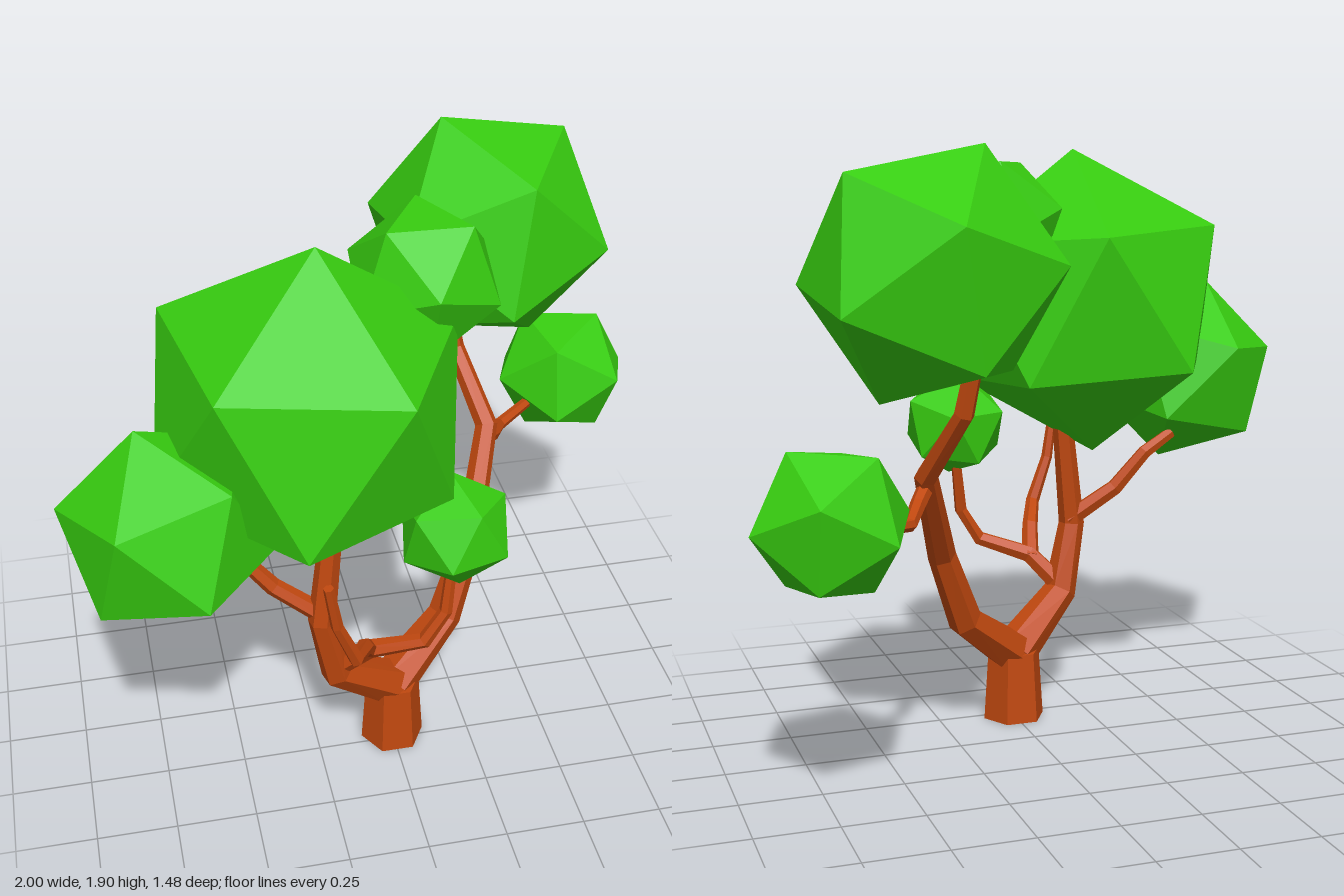
import * as THREE from 'three';

const V = (p) => new THREE.Vector3(...p);

// Faceted tapering limb: each point is [x, y, z, radius]
function limbGeometry(points, sides = 6) {
  const pts = points.map((p) => V(p.slice(0, 3)));
  const pos = [], index = [];
  let normal = null;
  pts.forEach((p, i) => {
    const t = new THREE.Vector3();
    if (i > 0) t.add(p.clone().sub(pts[i - 1]).normalize());
    if (i < pts.length - 1) t.add(pts[i + 1].clone().sub(p).normalize());
    t.normalize();
    if (!normal) normal = Math.abs(t.x) < 0.9 ? V([1, 0, 0]) : V([0, 0, 1]);
    normal.addScaledVector(t, -normal.dot(t)).normalize();
    const side = t.clone().cross(normal);
    for (let k = 0; k < sides; k++) {
      const a = (k / sides) * Math.PI * 2, r = points[i][3];
      const q = p.clone().addScaledVector(normal, Math.cos(a) * r).addScaledVector(side, Math.sin(a) * r);
      pos.push(q.x, q.y, q.z);
    }
  });
  for (let i = 0; i < pts.length - 1; i++) {
    for (let k = 0; k < sides; k++) {
      const a = i * sides + k, b = i * sides + ((k + 1) % sides);
      index.push(a, b, b + sides, a, b + sides, a + sides);
    }
  }
  // End caps
  const last = (pts.length - 1) * sides;
  for (let k = 1; k < sides - 1; k++) {
    index.push(0, k + 1, k, last, last + k, last + k + 1);
  }
  const g = new THREE.BufferGeometry();
  g.setAttribute('position', new THREE.Float32BufferAttribute(pos, 3));
  g.setIndex(index);
  const flat = g.toNonIndexed();
  flat.computeVertexNormals();
  return flat;
}

// Orthonormal basis from two neighbouring corner directions
function basisFrom(a, b) {
  const x = a.clone().normalize();
  const y = b.clone().addScaledVector(x, -b.dot(x)).normalize();
  return new THREE.Matrix4().makeBasis(x, y, x.clone().cross(y));
}

// Icosahedron turned so that two neighbouring corners point along a and b
function foliageGeometry(radius, a, b) {
  const t = (1 + Math.sqrt(5)) / 2;
  const turn = basisFrom(V(a), V(b)).multiply(basisFrom(V([-1, t, 0]), V([1, t, 0])).invert());
  return new THREE.IcosahedronGeometry(radius, 0).applyMatrix4(turn);
}

export function createModel() {
  const bark = new THREE.MeshStandardMaterial({ color: 0xc0480f, flatShading: true });
  bark.name = 'bark';
  const leaf = new THREE.MeshStandardMaterial({ color: 0x37cc10, flatShading: true });
  leaf.name = 'leaf';

  const tree = new THREE.Group();
  tree.name = 'tree';

  // Trunk, two main limbs and the thinner branches growing from them
  const limbs = {
    trunk: [[0, 0, 0.22, 0.103], [0, 0.23, 0.22, 0.088]],
    leftLimb: [[0, 0.22, 0.22, 0.075], [0.2, 0.38, 0.11, 0.056], [0.295, 0.62, 0.04, 0.045],
      [0.4, 0.92, -0.17, 0.037], [0.33, 1.13, -0.335, 0.031], [0.31, 1.26, -0.36, 0.028]],
    rightLimb: [[0, 0.22, 0.22, 0.075], [-0.2, 0.39, 0.32, 0.055], [-0.25, 0.62, 0.345, 0.043],
      [-0.21, 0.97, 0.325, 0.034]],
    leftSideBranch: [[0.39, 0.89, -0.14, 0.026], [0.44, 0.85, -0.22, 0.024],
      [0.49, 0.815, -0.32, 0.021], [0.62, 0.83, -0.42, 0.018]],
    rightSideBranch: [[-0.235, 0.63, 0.34, 0.032], [-0.39, 0.74, 0.3, 0.028],
      [-0.49, 0.86, 0.28, 0.024], [-0.59, 0.92, 0.29, 0.02]],
    frontBranch: [[-0.2, 0.41, 0.32, 0.036], [-0.11, 0.51, 0.38, 0.031], [0.05, 0.565, 0.44, 0.025],
      [0.115, 0.67, 0.44, 0.021], [0.135, 0.83, 0.42, 0.017]],
    bareBranch: [[-0.11, 0.5, 0.37, 0.03], [-0.14, 0.59, 0.46, 0.027], [-0.19, 0.65, 0.58, 0.023],
      [-0.25, 0.8, 0.6, 0.019], [-0.275, 0.95, 0.61, 0.016]],
  };
  for (const [name, points] of Object.entries(limbs)) {
    const mesh = new THREE.Mesh(limbGeometry(points), bark);
    mesh.name = name;
    tree.add(mesh);
  }

  // Foliage: centre, radius and two neighbouring corner directions
  const clumps = [
    ['largeFoliage', [-0.272, 1.375, 0.305], 0.5, [0.03, 0.495, 0.02], [0.22, 0.185, 0.4]],
    ['leftTopFoliage', [0.433, 1.535, -0.375], 0.393, [-0.145, 0.361, -0.04], [0.005, 0.155, -0.365]],
    ['rightSideFoliage', [-0.697, 1.115, 0.447], 0.318, [-0.072, 0.31, -0.03], [-0.3, 0.06, -0.05]],
    ['rearTopFoliage', [0.105, 1.647, 0.13], 0.237, [-0.008, 0.035, 0.23], [-0.2, -0.05, 0.085]],
    ['leftSideFoliage', [0.763, 0.885, -0.52], 0.236, [0.23, -0.011, -0.045], [0.123, 0.203, 0]],
    ['frontFoliage', [0.137, 0.97, 0.43], 0.18, [-0.009, 0.18, -0.046], [0.163, 0.065, -0.016]],
  ];
  for (const [name, centre, radius, a, b] of clumps) {
    const mesh = new THREE.Mesh(foliageGeometry(radius, a, b), leaf);
    mesh.name = name;
    mesh.position.set(...centre);
    tree.add(mesh);
  }
  return tree;
}
